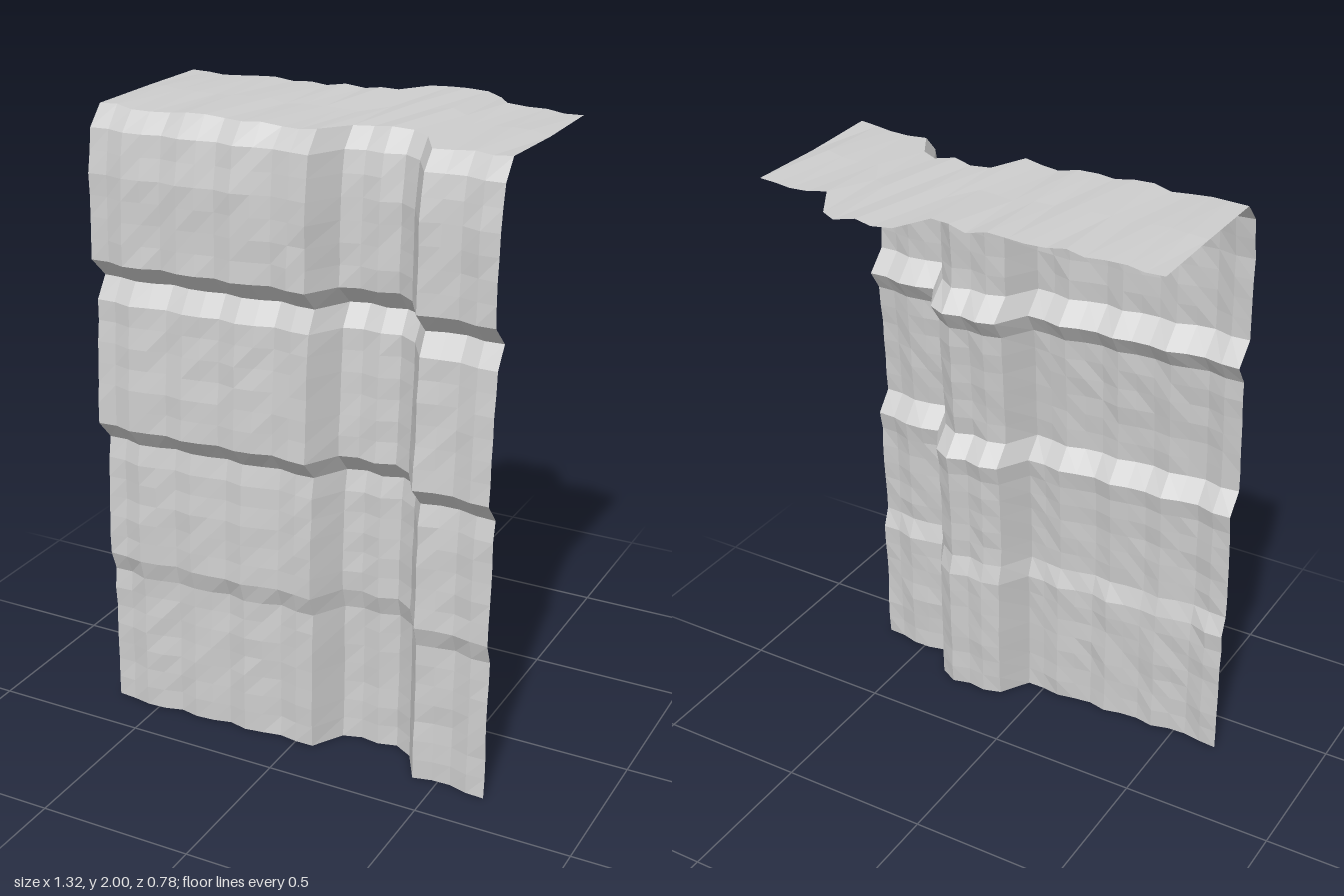
import * as THREE from 'three';

// Depth of the rock at each column, left to right (bulge recessed near x = 0.24)
const columns = [0.285, 0.283, 0.3, 0.293, 0.278, 0.289, 0.283, 0.273, 0.285, 0.275, 0.26, 0.27,
  0.275, 0.17, 0.153, 0.165, 0.145, 0.183, 0.287, 0.275, 0.27, 0.288, 0.29];

// Strata: [height, extra depth], with sharp undercut ledges
const strata = [[0, 0.058], [0.267, 0.052], [0.467, 0.045], [0.533, 0.066], [0.867, 0.05],
  [0.933, 0.036], [1.0, 0.093], [1.4, 0.063], [1.467, 0.02], [1.533, 0.086], [1.8, 0.076],
  [1.933, 0.053], [2, 0]];

const STEP = 0.06, HALF = 0.66, ROWS = 30;

// Repeatable roughness in -1..1
function noise(i, j) {
  const s = Math.sin(i * 12.9898 + j * 78.233) * 43758.5453;
  return (s - Math.floor(s)) * 2 - 1;
}

function strataDepth(y) {
  for (let k = 1; k < strata.length; k++) {
    const [y0, d0] = strata[k - 1], [y1, d1] = strata[k];
    if (y <= y1 + 0.001) return d0 + (d1 - d0) * Math.min(1, (y - y0) / (y1 - y0));
  }
  return 0;
}

// Grid sheet; each quad is split from lower left to upper right
function sheet(rows, place) {
  const n = columns.length, positions = [], index = [];
  for (let j = 0; j <= rows; j++) {
    for (let i = 0; i < n; i++) positions.push(-HALF + i * STEP, ...place(i, j));
  }
  for (let j = 0; j < rows; j++) {
    for (let i = 0; i < n - 1; i++) {
      const a = j * n + i, b = a + 1, c = a + n, d = c + 1;
      index.push(a, b, d, a, d, c);
    }
  }
  const geometry = new THREE.BufferGeometry();
  geometry.setAttribute('position', new THREE.Float32BufferAttribute(positions, 3));
  geometry.setIndex(index);
  const flat = geometry.toNonIndexed();
  flat.computeVertexNormals();
  return flat;
}

// Shared uneven height of the top rim
const rimHeight = (i, j) => 1.993 + 0.007 * noise(i + 3, j + 50);

export function createModel() {
  const group = new THREE.Group();
  group.name = 'cliff';
  const rock = new THREE.MeshStandardMaterial({ color: 0xcccccc, flatShading: true, side: THREE.DoubleSide });
  rock.name = 'grey rock';

  // Upright wall with horizontal ledges
  const wall = new THREE.Mesh(sheet(ROWS, (i, j) => {
    const y = (j * 2) / ROWS;
    const rough = j === ROWS ? 0 : 0.004 * noise(i, j);
    return [j === ROWS ? rimHeight(i, 0) : y, columns[i] + strataDepth(y) + rough];
  }), rock);
  wall.name = 'cliffFace';

  // Flat ground running back from the rim
  const ground = new THREE.Mesh(sheet(2, (i, j) => [rimHeight(i, j), columns[i] - j * 0.265]), rock);
  ground.name = 'cliffTop';

  group.add(wall, ground);
  return group;
}
